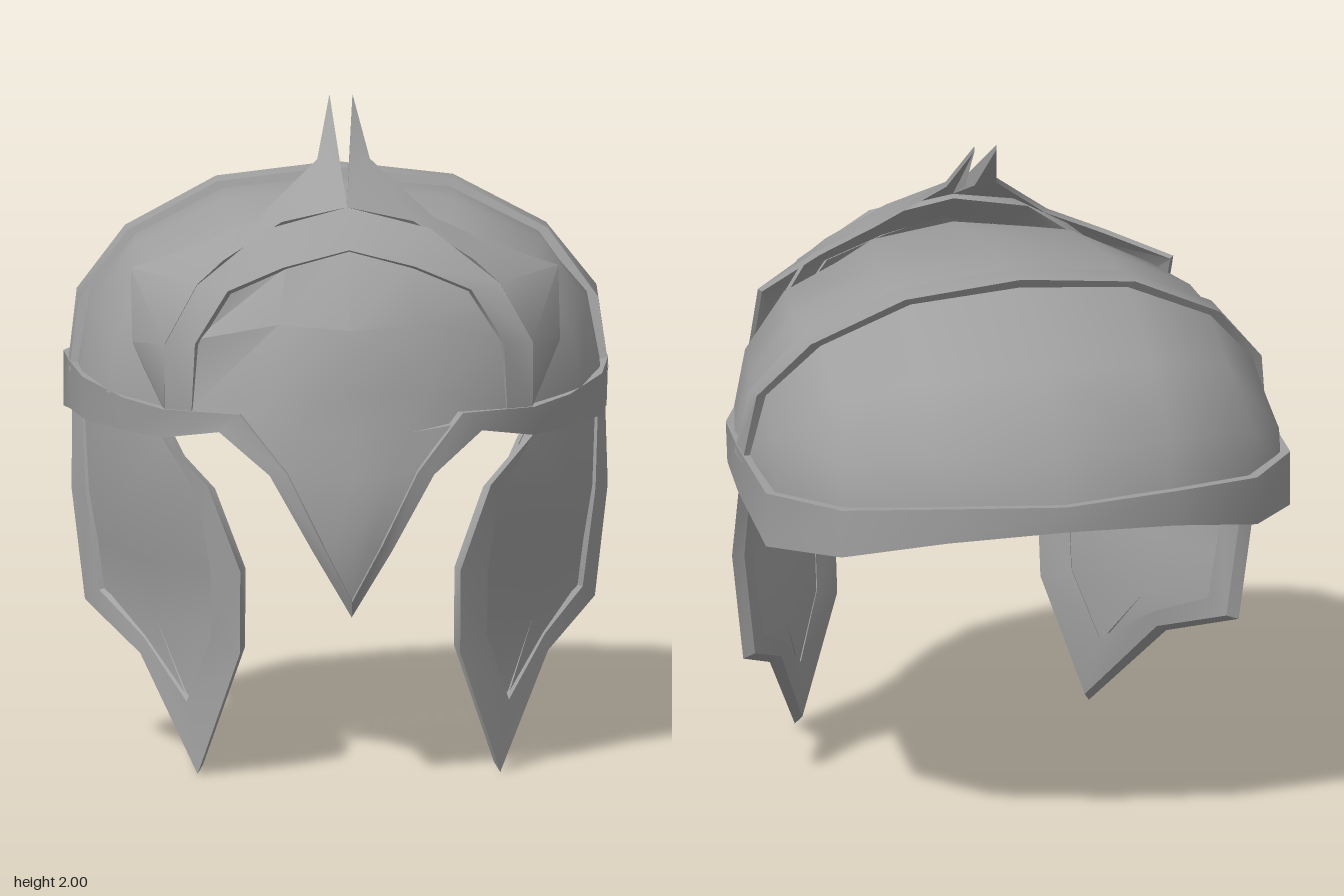
import * as THREE from 'three';
import { toCreasedNormals } from 'three/addons/utils/BufferGeometryUtils.js';

const steel = new THREE.MeshStandardMaterial({ color: 0xa0a0a0, side: THREE.DoubleSide });
steel.name = 'steel grey';

// Mirror a list of points to the other side
const flip = (pts) => pts.map(([x, y, z]) => [-x, y, z]);
// Half section ending on the centre line -> full symmetric section
const full = (half) => [...half, ...flip(half).reverse().slice(1)];

// Thick sheet through rows of points, thickened towards a centre point
function sheet(name, rows, depth, { centre = [0, 1.1, 0], crease = 0.6, inset = 0 } = {}) {
  const c = new THREE.Vector3(...centre);
  const layer = (d) => rows.map((r) => r.map((p) => {
    const v = new THREE.Vector3(...p);
    return v.addScaledVector(c.clone().sub(v).normalize(), d);
  }));
  const outer = layer(inset), inner = layer(inset + depth);
  const pos = [];
  const quad = (a, b, d, e) => [a, b, d, a, d, e].forEach((v) => pos.push(v.x, v.y, v.z));
  const m = rows.length - 1, n = rows[0].length - 1;
  for (let i = 0; i < m; i++) {
    for (let j = 0; j < n; j++) {
      quad(outer[i][j], outer[i + 1][j], outer[i + 1][j + 1], outer[i][j + 1]);
      quad(inner[i][j], inner[i][j + 1], inner[i + 1][j + 1], inner[i + 1][j]);
    }
    quad(outer[i][0], inner[i][0], inner[i + 1][0], outer[i + 1][0]);
    quad(outer[i][n], outer[i + 1][n], inner[i + 1][n], inner[i][n]);
  }
  for (let j = 0; j < n; j++) {
    quad(outer[0][j], outer[0][j + 1], inner[0][j + 1], inner[0][j]);
    quad(outer[m][j], inner[m][j], inner[m][j + 1], outer[m][j + 1]);
  }
  const g = new THREE.BufferGeometry();
  g.setAttribute('position', new THREE.Float32BufferAttribute(pos, 3));
  const mesh = new THREE.Mesh(toCreasedNormals(g, crease), steel);
  mesh.name = name;
  return mesh;
}

export function createModel() {
  const model = new THREE.Group();
  model.name = 'helmet';

  // Skull dome: arches from ear to crown, front to back
  const arches = [
    [[.55, 1.12, .60], [.53, 1.30, .60], [.44, 1.45, .57], [.25, 1.58, .53], [0, 1.62, .52]],
    [[.72, 1.13, .38], [.69, 1.32, .36], [.57, 1.50, .35], [.32, 1.63, .33], [0, 1.66, .30]],
    [[.79, 1.14, .10], [.75, 1.35, .05], [.62, 1.53, .03], [.35, 1.66, 0], [0, 1.695, -.02]],
    [[.80, 1.14, -.11], [.76, 1.36, -.19], [.61, 1.53, -.27], [.34, 1.66, -.33], [0, 1.69, -.34]],
    [[.80, 1.13, -.13], [.77, 1.28, -.32], [.61, 1.44, -.50], [.34, 1.51, -.62], [0, 1.53, -.65]],
    [[.80, 1.12, -.15], [.79, 1.20, -.41], [.65, 1.28, -.64], [.36, 1.32, -.79], [0, 1.33, -.85]],
    [[.80, 1.10, -.17], [.79, 1.10, -.43], [.63, 1.12, -.67], [.35, 1.15, -.82], [0, 1.16, -.89]],
  ];
  model.add(sheet('dome', arches.map(full), .035, { crease: 0.9 }));

  // Raised band over the crown
  model.add(sheet('crownBand', [
    full([[.82, 1.13, -.03], [.79, 1.34, -.08], [.64, 1.54, -.16], [.36, 1.68, -.225], [0, 1.72, -.235]]),
    full([[.82, 1.13, -.13], [.79, 1.36, -.19], [.64, 1.54, -.27], [.36, 1.68, -.33], [0, 1.72, -.345]]),
  ], .07));

  // Rim running from the back, past the eyes, down to the nose tip
  const rimTop = [
    [0, 1.18, -.92], [.36, 1.18, -.85], [.65, 1.15, -.70], [.82, 1.13, -.43], [.82, 1.16, -.06], [.79, 1.15, .20],
    [.68, 1.13, .47], [.565, 1.12, .64], [.34, 1.13, .81], [.20, .96, .885], [.09, .74, .92], [0, .56, .875],
  ];
  const rimBottom = [
    [0, 1.10, -.92], [.36, 1.07, -.85], [.65, 1.00, -.70], [.82, .96, -.43], [.815, 1.01, -.06], [.785, 1.02, .20],
    [.67, 1.03, .48], [.565, 1.03, .62], [.40, 1.07, .77], [.25, .95, .865], [.12, .72, .90], [0, .51, .85],
  ];
  model.add(sheet('rim', [full(rimTop), full(rimBottom)], .04));

  // Ridged forehead and nose plate
  const face = [
    [[.37, 1.49, .67], [.19, 1.56, .665], [0, 1.61, .66]],
    [[.47, 1.34, .68], [.22, 1.40, .78], [0, 1.39, .845]],
    [[.49, 1.12, .68], [.25, 1.19, .82], [0, 1.20, .865]],
    [[.37, 1.10, .785], [.18, 1.08, .865], [0, 1.08, .88]],
    [[.235, .955, .865], [.12, .95, .893], [0, .95, .90]],
    [[.11, .73, .90], [.06, .74, .915], [0, .75, .925]],
    [[0, .52, .85], [0, .52, .85], [0, .52, .85]],
  ];
  model.add(sheet('facePlate', face.map(full), .02));

  // Arched brow band
  model.add(sheet('browBand', [
    full([[.56, 1.12, .63], [.56, 1.32, .65], [.46, 1.50, .63], [.25, 1.66, .57], [0, 1.72, .53]]),
    full([[.48, 1.12, .69], [.47, 1.33, .70], [.37, 1.49, .69], [.20, 1.56, .68], [0, 1.61, .67]]),
  ], .03));

  // Crest wings swept back from the brow, each with two spikes
  const wingFront = [
    [.56, 1.12, .62], [.56, 1.32, .64], [.46, 1.50, .62], [.38, 1.57, .60], [.20, 1.68, .555],
    [0, 1.72, .53], [.015, 1.82, .31],
  ];
  const wingBack = [
    [.57, 1.12, .54], [.65, 1.30, .47], [.65, 1.51, .36], [.45, 1.59, .43], [.27, 1.67, .43],
    [.08, 1.83, .29], [.035, 2.0, .11],
  ];

  // Cheek guard: outline, inner edge of its trim, and the recessed panel
  const cheekOuter = [
    [.57, 1.03, .57], [.43, .89, .70], [.335, .64, .77], [.335, .38, .73], [.46, 0, .66],
    [.62, .32, .33], [.775, .44, .04], [.815, .78, .02], [.81, 1.03, -.05],
  ];
  const cheekInner = [
    [.55, 1.03, .53], [.46, .86, .66], [.42, .62, .69], [.42, .42, .66], [.49, .21, .58],
    [.61, .37, .33], [.735, .48, .11], [.775, .78, .09], [.785, 1.03, .03],
  ];
  const cheekPanel = [
    [[.55, 1.03, .54], [.73, 1.03, .27], [.795, 1.03, .02]],
    [[.455, .86, .67], [.68, .83, .38], [.785, .78, .08]],
    [[.41, .62, .70], [.62, .61, .40], [.755, .62, .10]],
    [[.41, .42, .67], [.59, .43, .37], [.74, .47, .10]],
    [[.48, .20, .59], [.49, .20, .58], [.50, .21, .57]],
  ];
  const cheekOpts = { centre: [0, .7, .1] };

  for (const [side, place] of [['left', (p) => p], ['right', flip]]) {
    model.add(sheet(side + 'CrestWing', [place(wingFront), place(wingBack)], .015));
    const cheek = new THREE.Group();
    cheek.name = side + 'CheekGuard';
    cheek.add(sheet('cheekTrim', [place(cheekOuter), place(cheekInner)], .04, cheekOpts));
    cheek.add(sheet('cheekPanel', cheekPanel.map(place), .015, { ...cheekOpts, inset: .018 }));
    model.add(cheek);
  }
  return model;
}
